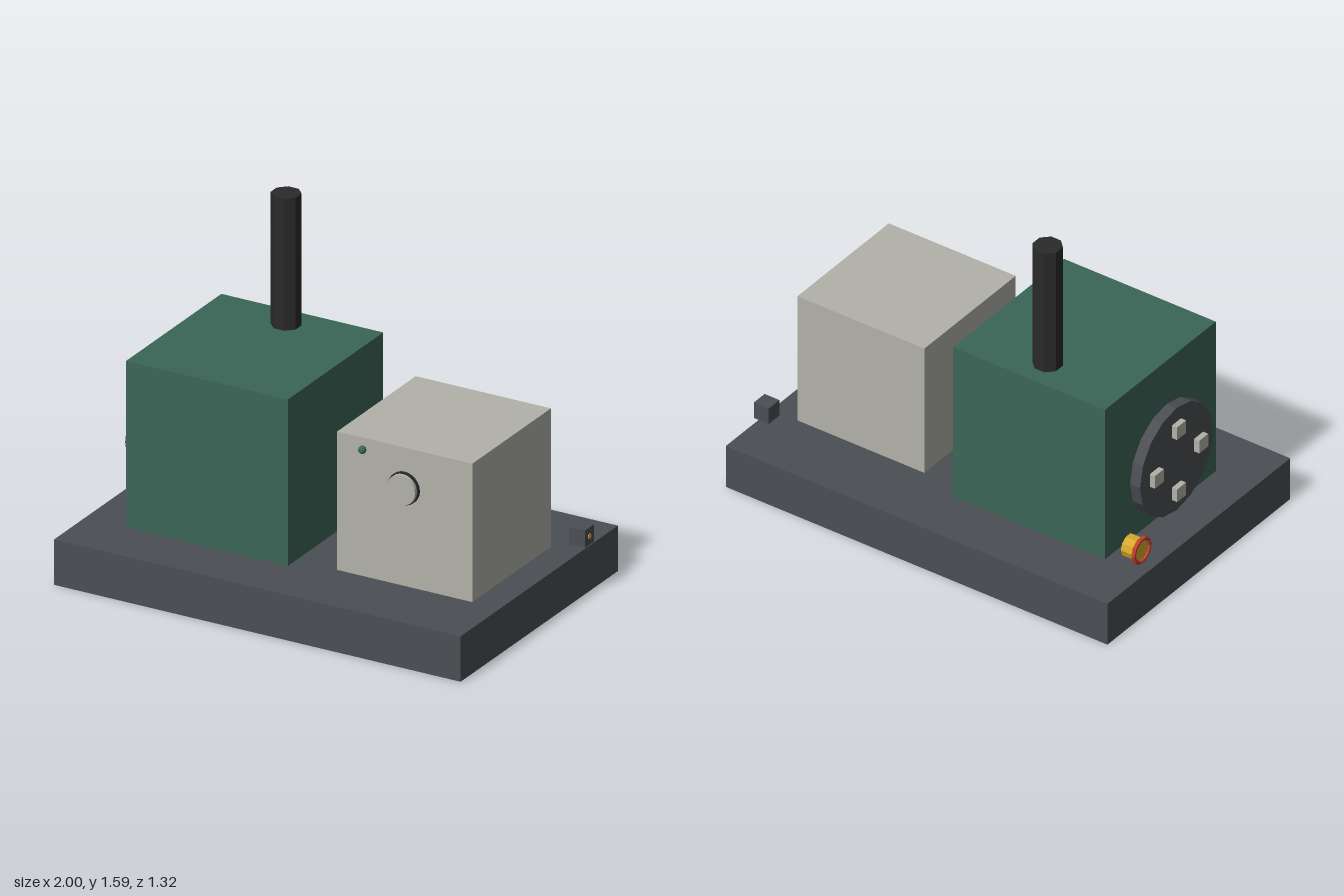
import * as THREE from 'three';

const mat = (name, color) => {
  const m = new THREE.MeshStandardMaterial({ color, flatShading: true });
  m.name = name;
  return m;
};

export function createModel() {
  const model = new THREE.Group();
  model.name = 'machine';

  const green = mat('machine green', 0x3b6657);
  const cream = mat('pale grey', 0xb2b2aa);
  const steel = mat('dark steel', 0x4b4e53);
  const black = mat('chimney black', 0x2a2a2a);
  const yellow = mat('yellow', 0xd4a72c);
  const red = mat('red', 0xc4412d);

  const add = (name, geometry, material, x, y, z) => {
    const mesh = new THREE.Mesh(geometry, material);
    mesh.name = name;
    mesh.position.set(x, y, z);
    model.add(mesh);
    return mesh;
  };
  // Box from its minimum and maximum corners
  const box = (name, material, [x0, y0, z0], [x1, y1, z1]) =>
    add(name, new THREE.BoxGeometry(x1 - x0, y1 - y0, z1 - z0), material,
      (x0 + x1) / 2, (y0 + y1) / 2, (z0 + z1) / 2);
  // Cylinders lying along x or z
  const rodX = (r, len, sides) => new THREE.CylinderGeometry(r, r, len, sides).rotateZ(Math.PI / 2);
  const rodZ = (r, len, sides) => new THREE.CylinderGeometry(r, r, len, sides).rotateX(Math.PI / 2);

  // Base and the two housings
  box('base', steel, [-1, 0, -0.66], [0.985, 0.21, 0.66]);
  box('engineHousing', green, [-0.8, 0.21, -0.4], [-0.01, 0.98, 0.4]);
  box('generatorHousing', cream, [0.19, 0.21, -0.33], [0.85, 0.85, 0.33]);

  // Exhaust stack
  add('exhaustStack', new THREE.CylinderGeometry(0.066, 0.066, 0.62, 8).rotateY(Math.PI / 8),
    black, -0.405, 1.28, -0.265);

  // Flywheel with four square bolts
  add('flywheel', rodX(0.263, 0.052, 16), steel, -0.858, 0.533, 0);
  for (let i = 0; i < 4; i++) {
    const a = (i * Math.PI) / 2;
    add('flywheelBolt', new THREE.BoxGeometry(0.045, 0.065, 0.065), cream,
      -0.888, 0.533 + 0.16 * Math.sin(a), 0.16 * Math.cos(a));
  }

  // Yellow outlet with a red rim
  add('outlet', rodX(0.052, 0.07, 10), yellow, -0.955, 0.335, -0.4);
  add('outletRim', new THREE.TorusGeometry(0.057, 0.01, 6, 10).rotateY(Math.PI / 2),
    red, -0.99, 0.335, -0.4);

  // Gauge and indicator lamp on the generator
  add('gaugeRim', rodZ(0.075, 0.014, 24), black, 0.52, 0.665, 0.338);
  add('gaugeFace', rodZ(0.069, 0.032, 24), cream, 0.52, 0.665, 0.346);
  add('indicatorLamp', new THREE.SphereGeometry(0.018, 10, 8), green, 0.32, 0.8, 0.343);

  // Socket block at the rear corner
  box('socket', steel, [0.92, 0.225, -0.44], [0.997, 0.305, -0.363]);
  add('socketMark', rodX(0.013, 0.004, 8), yellow, 0.998, 0.265, -0.4);

  return model;
}
